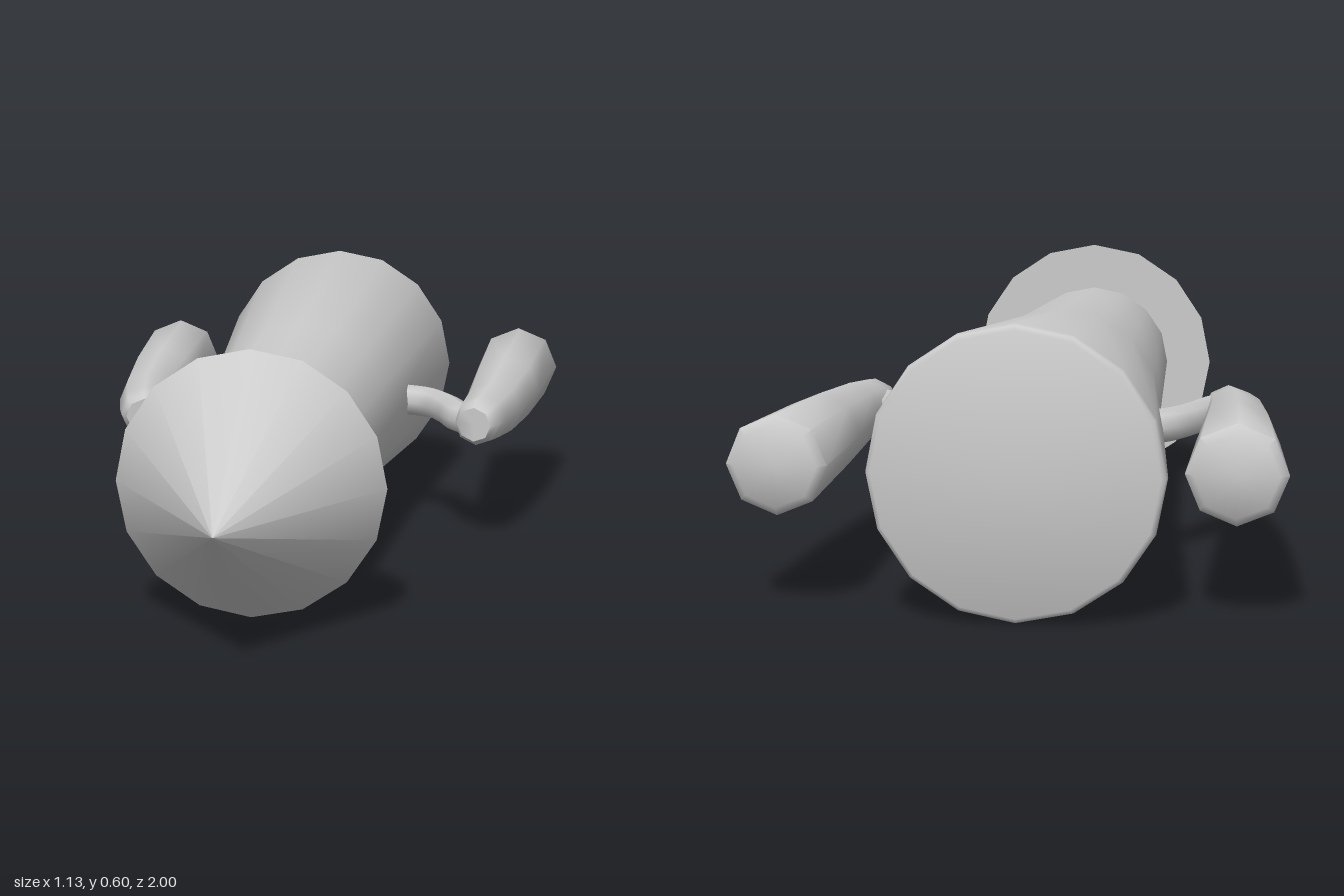
import * as THREE from 'three';
import { toCreasedNormals } from 'three/addons/utils/BufferGeometryUtils.js';

const material = new THREE.MeshStandardMaterial({ color: 0xcccccc });
const AXIS_X = -0.027;
const AXIS_Y = 0.303;

function addMesh(group, name, geometry) {
  const mesh = new THREE.Mesh(geometry, material);
  mesh.name = name;
  group.add(mesh);
  return mesh;
}

// Turned solid along z; profile is [radius, z] from back to front
function turned(profile, sides) {
  const points = profile.map(([r, z]) => new THREE.Vector2(r, z));
  return new THREE.LatheGeometry(points, sides).rotateX(Math.PI / 2);
}

// Side pod: tapered, leaning inwards towards the front, with a slanted nose.
// Sections are [radius, z, centre x, slant]
const podSections = [
  [0, -0.965, 0.46, 0], [0.085, -0.965, 0.46, 0], [0.103, -0.948, 0.46, 0],
  [0.088, -0.6, 0.445, 0.02], [0.071, -0.35, 0.43, 0.1], [0.06, -0.23, 0.413, 0.25],
  [0.054, -0.178, 0.404, 0.35], [0.041, -0.155, 0.4, 0.4], [0, -0.155, 0.4, 0.4],
];

function podGeometry(side) {
  const geometry = turned(podSections, 8);
  const p = geometry.attributes.position;
  for (let i = 0; i < p.count; i++) {
    const [, z, cx, slant] = podSections[i % podSections.length];
    const x = p.getX(i);
    p.setX(i, x + side * cx);
    p.setZ(i, z + side * slant * x);
  }
  return toCreasedNormals(geometry, 0.95);
}

// Curved strut from the body out to the nose of the pod
function strutGeometry(side) {
  const path = [[0.14, -0.445], [0.21, -0.443], [0.275, -0.41], [0.325, -0.33], [0.36, -0.24], [0.4, -0.19]];
  const curve = new THREE.CatmullRomCurve3(path.map(([x, z]) => new THREE.Vector3(side * x, 0, z)));
  return new THREE.TubeGeometry(curve, 16, 0.038, 8, false);
}

export function createModel() {
  const model = new THREE.Group();

  // Flaring body with a softly bevelled back rim
  const bodyProfile = [
    [0, -1], [0.288, -1], [0.297, -0.995], [0.3, -0.98],
    [0.226, -0.2], [0.207, 0.15], [0.186, 0.54], [0, 0.54],
  ];
  const body = addMesh(model, 'body', toCreasedNormals(turned(bodyProfile, 16), 0.95));
  body.position.set(AXIS_X, AXIS_Y, 0);

  // Pointed nose, wider than the body at its base
  const nose = addMesh(model, 'noseCone', new THREE.ConeGeometry(0.295, 0.467, 16).rotateX(Math.PI / 2));
  nose.position.set(AXIS_X, AXIS_Y, 1 - 0.467 / 2);

  // Pods and struts on both sides
  for (const [side, label] of [[1, 'left'], [-1, 'right']]) {
    addMesh(model, label + 'Pod', podGeometry(side)).position.y = 0.305;
    addMesh(model, label + 'Strut', strutGeometry(side)).position.y = 0.305;
  }
  return model;
}
